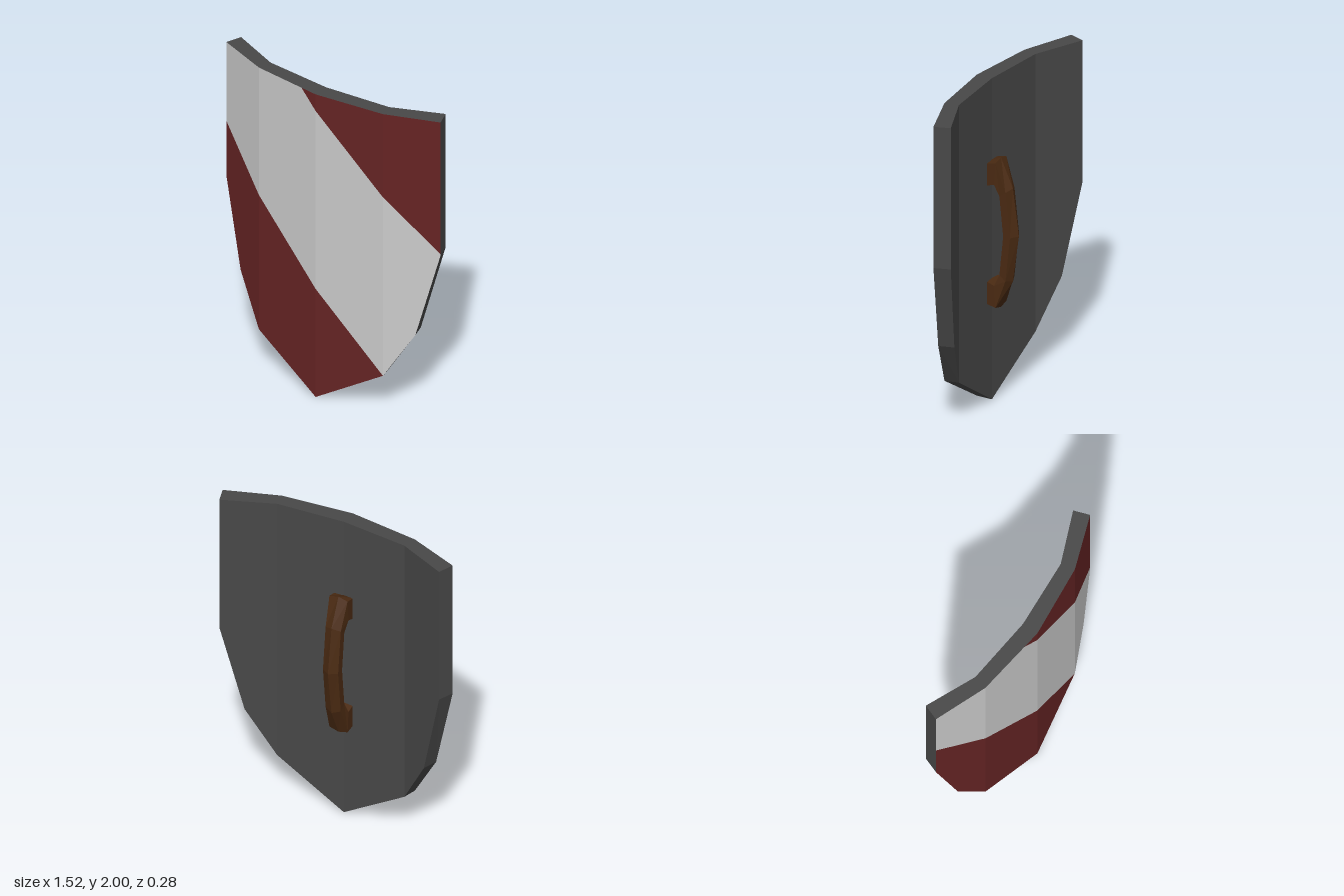
import * as THREE from 'three';

// Piecewise linear lookup in a list of [t, value] pairs
function lerpTable(table, t) {
  for (let i = 1; i < table.length; i++) {
    const [t0, v0] = table[i - 1], [t1, v1] = table[i];
    if (t <= t1) return v0 + (v1 - v0) * (t - t0) / (t1 - t0);
  }
  return table[table.length - 1][1];
}

// Half outline of the lower edge and the bent plate profile
const OUTLINE = [[0, 0], [0.44, 0.27], [0.62, 0.57], [0.76, 1.12]];
const FRONT_Z = [[0, 0.14], [0.44, 0.09], [0.76, -0.03]];
const BACK_Z = [[0, 0.04], [0.44, 0.005], [0.76, -0.125]];
const KNOTS = [-0.76, -0.62, -0.44, -0.11, 0, 0.44, 0.62, 0.76];
const TOP = 2;

const bottom = (x) => lerpTable(OUTLINE, Math.abs(x));
const front = (x, y) => [x, y, lerpTable(FRONT_Z, Math.abs(x))];
const back = (x, y) => [x * 0.955, y, lerpTable(BACK_Z, Math.abs(x))];
const clampY = (x, y) => Math.min(TOP, Math.max(bottom(x), y));

// Diagonal boundaries of the pale band
const lowLine = (x) => clampY(x, 1.48 - (x + 0.76) * 1.21 / 1.2);
const highLine = (x) => clampY(x, 2 - (x + 0.11));

function meshFromQuads(name, quads, color) {
  const pos = [];
  for (const [a, b, c, d] of quads) pos.push(...a, ...b, ...c, ...a, ...c, ...d);
  const geo = new THREE.BufferGeometry();
  geo.setAttribute('position', new THREE.Float32BufferAttribute(pos, 3));
  geo.computeVertexNormals();
  const mesh = new THREE.Mesh(geo, new THREE.MeshStandardMaterial({ color, flatShading: true }));
  mesh.name = name;
  return mesh;
}

// One painted area of the face between two height functions
function facePanel(name, lo, hi, color) {
  const quads = [];
  for (let i = 0; i + 1 < KNOTS.length; i++) {
    const a = KNOTS[i], b = KNOTS[i + 1];
    if (hi(a) - lo(a) + hi(b) - lo(b) < 0.02) continue;
    quads.push([front(a, lo(a)), front(b, lo(b)), front(b, hi(b)), front(a, hi(a))]);
  }
  return meshFromQuads(name, quads, color);
}

// Rear face and the rim all round
function backAndRim() {
  const quads = [];
  for (let i = 0; i + 1 < KNOTS.length; i++) {
    const a = KNOTS[i], b = KNOTS[i + 1], ya = bottom(a), yb = bottom(b);
    quads.push([back(b, yb), back(a, ya), back(a, TOP), back(b, TOP)]);
    quads.push([front(a, TOP), front(b, TOP), back(b, TOP), back(a, TOP)]);
    quads.push([back(a, ya), back(b, yb), front(b, yb), front(a, ya)]);
  }
  const e = 0.76, y = bottom(e);
  quads.push([front(e, y), back(e, y), back(e, TOP), front(e, TOP)]);
  quads.push([back(-e, y), front(-e, y), front(-e, TOP), back(-e, TOP)]);
  return meshFromQuads('backAndRim', quads, 0x484848);
}

// Arched grip with a ridged section, flaring into two feet
function handle() {
  const mid = 1.055;
  // inner y, inner z, outer y, outer z, half width, ridge height
  const half = [
    [0.76, 0.05, 0.62, 0.05, 0.06, 0],
    [0.74, -0.01, 0.605, -0.02, 0.06, 0.015],
    [0.81, -0.04, 0.78, -0.08, 0.05, 0.025],
  ];
  const stations = [
    ...half,
    [mid, -0.065, mid, -0.11, 0.05, 0.03],
    ...half.map(([iy, iz, oy, oz, w, r]) => [2 * mid - iy, iz, 2 * mid - oy, oz, w, r]).reverse(),
  ];
  const rings = stations.map(([iy, iz, oy, oz, w, r]) => {
    const len = Math.hypot(oy - iy, oz - iz);
    const ridge = [0, oy + (oy - iy) / len * r, oz + (oz - iz) / len * r];
    return [[-w, iy, iz], [w, iy, iz], [w, oy, oz], ridge, [-w, oy, oz]];
  });
  const quads = [];
  for (let s = 0; s + 1 < rings.length; s++) {
    for (let i = 0; i < 5; i++) {
      const j = (i + 1) % 5;
      quads.push([rings[s][i], rings[s][j], rings[s + 1][j], rings[s + 1][i]]);
    }
  }
  return meshFromQuads('handle', quads, 0x4a2a12);
}

export function createModel() {
  const group = new THREE.Group();
  group.name = 'shield';
  const top = () => TOP;
  group.add(
    facePanel('lowerRedPanel', bottom, lowLine, 0x662424),
    facePanel('paleBand', lowLine, highLine, 0xcccccc),
    facePanel('upperRedPanel', highLine, top, 0x662424),
    backAndRim(),
    handle(),
  );
  return group;
}
